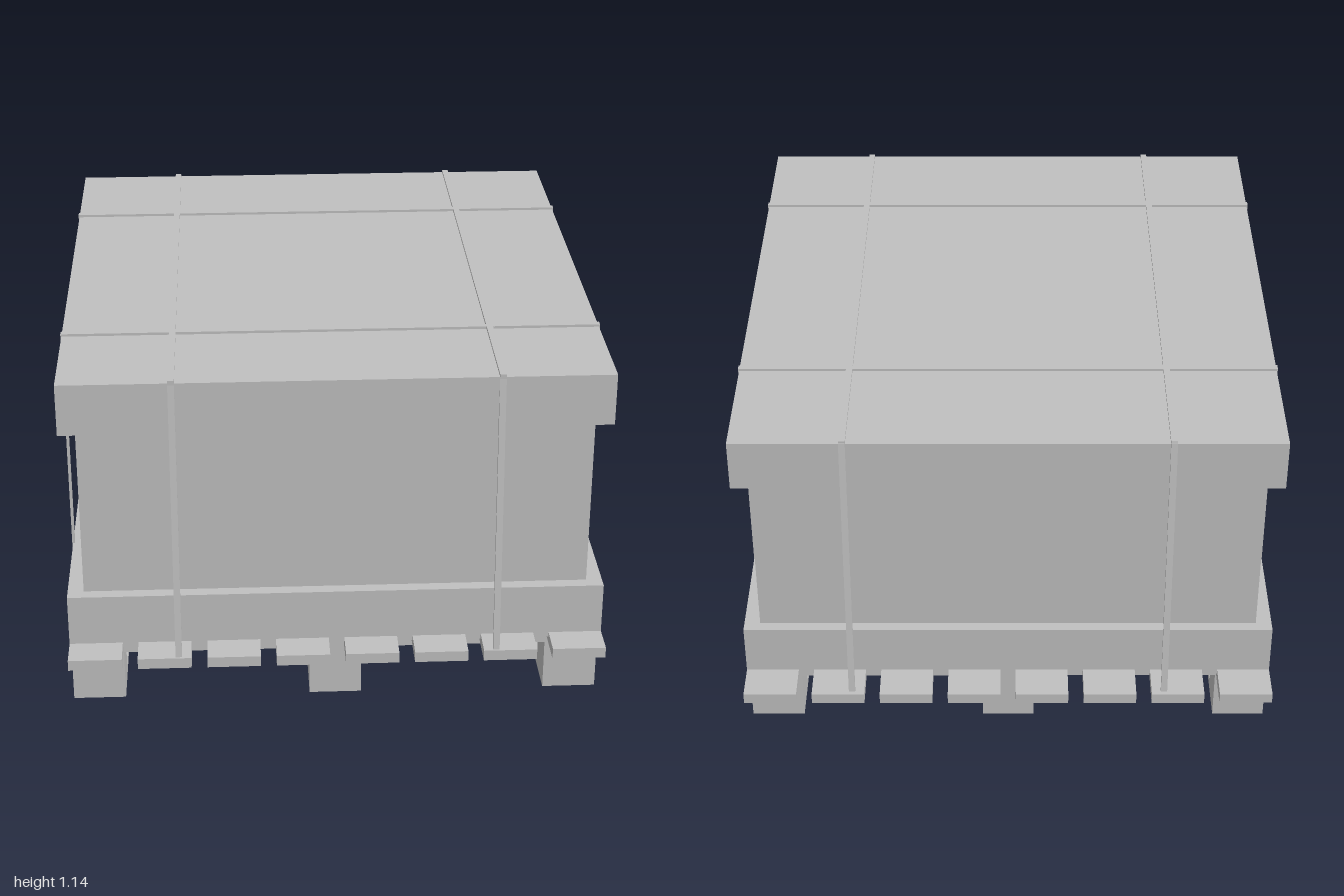
import * as THREE from 'three';

export function createModel() {
  const model = new THREE.Group();
  model.name = 'strappedCrateOnPallet';
  const grey = new THREE.MeshStandardMaterial({ color: 0xc0c0c0 });
  grey.name = 'plain grey';

  // Box given by its extents on each axis
  const box = (name, parent, [x0, x1], [y0, y1], [z0, z1]) => {
    const mesh = new THREE.Mesh(new THREE.BoxGeometry(x1 - x0, y1 - y0, z1 - z0), grey);
    mesh.position.set((x0 + x1) / 2, (y0 + y1) / 2, (z0 + z1) / 2);
    mesh.name = name;
    parent.add(mesh);
    return mesh;
  };
  const group = (name) => {
    const g = new THREE.Group();
    g.name = name;
    model.add(g);
    return g;
  };

  // Pallet: runners, blocks, cross boards and deck slats
  const W = 0.835;
  const pallet = group('pallet');
  const columns = [[-W, -0.67], [-0.083, 0.082], [0.667, W]];
  const rows = [[-0.83, -0.7], [-0.06, 0.07], [0.71, 0.845]];
  for (const cx of columns) {
    box('runner', pallet, cx, [0, 0.035], [-0.83, 0.845]);
    for (const rz of rows) box('block', pallet, cx, [0.035, 0.167], rz);
  }
  for (const rz of rows) box('crossBoard', pallet, [-W, W], [0.167, 0.202], rz);
  const slatWidth = 0.166;
  for (let i = 0; i < 8; i++) {
    const x = -W + (i * (2 * W - slatWidth)) / 7;
    box('deckSlat', pallet, [x, x + slatWidth], [0.202, 0.237], [-1, 1]);
  }

  // Crate: base tray, inset body, overhanging lid
  const crate = group('crate');
  box('baseTray', crate, [-W, W], [0.22, 0.403], [-0.882, 0.9]);
  box('body', crate, [-0.785, 0.785], [0.403, 0.967], [-0.848, 0.862]);
  box('lid', crate, [-W, W], [0.967, 1.132], [-0.893, 0.909]);

  // Flat strap piece between two points [z, y] at a given x
  const strapPiece = (name, parent, x, [z0, y0], [z1, y1]) => {
    const mesh = new THREE.Mesh(
      new THREE.BoxGeometry(0.02, 0.01, Math.hypot(z1 - z0, y1 - y0)), grey);
    mesh.position.set(x, (y0 + y1) / 2, (z0 + z1) / 2);
    mesh.rotation.x = -Math.atan2(y1 - y0, z1 - z0);
    mesh.name = name;
    parent.add(mesh);
  };

  // Lengthwise straps: over the lid, sloping to the slat ends, tails tucked under
  for (const x of [-0.493, 0.493]) {
    const strap = group('lengthwiseStrap');
    box('strapTop', strap, [x - 0.01, x + 0.01], [1.13, 1.14], [-0.893, 0.909]);
    strapPiece('frontStrap', strap, x, [0.903, 1.136], [0.99, 0.222]);
    strapPiece('backStrap', strap, x, [-0.893, 1.136], [-0.983, 0.222]);
    strapPiece('frontTail', strap, x, [0.99, 0.223], [0.86, 0.17]);
    strapPiece('backTail', strap, x, [-0.983, 0.223], [-0.86, 0.17]);
  }

  // Crosswise straps: closed loops around crate and deck
  const S = 0.838;
  for (const z of [-0.493, 0.543]) {
    const strap = group('crosswiseStrap');
    const depth = [z - 0.01, z + 0.01];
    box('strapTop', strap, [-S, S], [1.13, 1.14], depth);
    box('strapBottom', strap, [-S, S], [0.197, 0.204], depth);
    for (const side of [-1, 1]) {
      const edges = [side * S, side * (S - 0.008)].sort((a, b) => a - b);
      box('strapSide', strap, edges, [0.197, 1.14], depth);
    }
  }
  return model;
}
